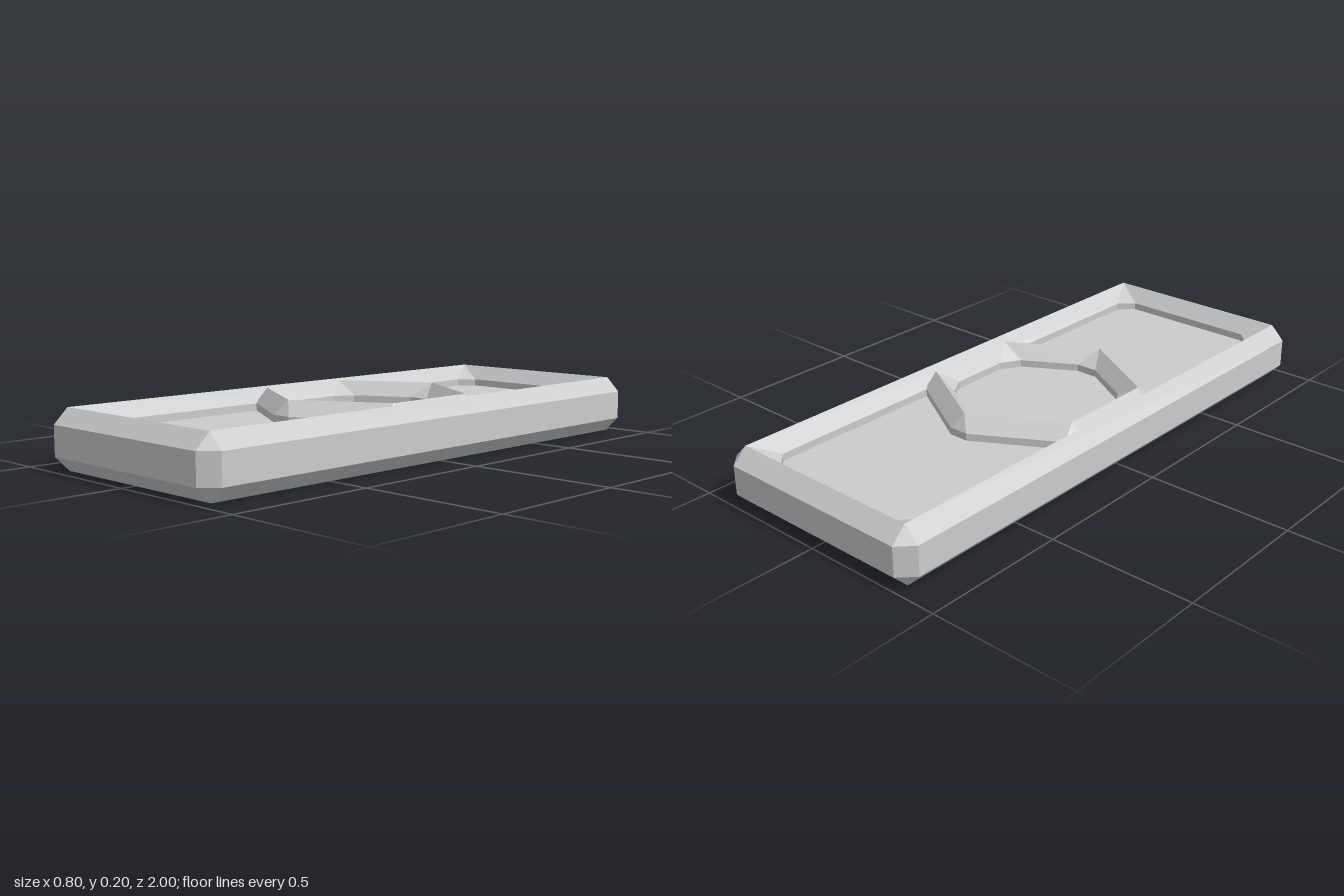
import * as THREE from 'three';

const material = new THREE.MeshStandardMaterial({ color: 0xcccccc, flatShading: true });

// Replace each polygon corner by two points, moved distance t along its edges
function cutCorners(corners, t) {
  const n = corners.length;
  return corners.flatMap((c, i) => {
    const towards = (o) => c.clone().add(o.clone().sub(c).setLength(t));
    return [towards(corners[(i + n - 1) % n]), towards(corners[(i + 1) % n])];
  });
}

// Closed bar with a ridged top and bottom, swept round a polygon.
// Points are (x, z), running counter-clockwise seen from above.
function ridgedRing(name, outer, ridge, inner) {
  const sections = [
    [ridge, 0.2], [outer, 0.15], [outer, 0.05],
    [ridge, 0], [inner, 0.05], [inner, 0.15],
  ];
  const n = ridge.length;
  const point = (i, j) => {
    const [loop, y] = sections[j % sections.length];
    const p = loop[i % n];
    return new THREE.Vector3(p.x, y, p.y);
  };
  const positions = [];
  const addTriangle = (a, b, c) => {
    if (new THREE.Triangle(a, b, c).getArea() < 1e-8) return; // ridge corners are single points
    for (const v of [a, b, c]) positions.push(v.x, v.y, v.z);
  };
  for (let i = 0; i < n; i++) {
    for (let j = 0; j < sections.length; j++) {
      const a = point(i, j), b = point(i, j + 1), c = point(i + 1, j + 1), d = point(i + 1, j);
      addTriangle(a, b, c);
      addTriangle(a, c, d);
    }
  }
  const geometry = new THREE.BufferGeometry();
  geometry.setAttribute('position', new THREE.Float32BufferAttribute(positions, 3));
  geometry.computeVertexNormals();
  const mesh = new THREE.Mesh(geometry, material);
  mesh.name = name;
  return mesh;
}

const rectangle = (x, z) => [[-x, z], [x, z], [x, -z], [-x, -z]].map(([a, b]) => new THREE.Vector2(a, b));

const hexagon = (r) => Array.from({ length: 6 }, (_, i) => {
  const a = (i * Math.PI) / 3;
  return new THREE.Vector2(r * Math.sin(a), r * Math.cos(a));
});

export function createModel() {
  const model = new THREE.Group();
  model.name = 'framedPanel';

  // Outer rectangular frame
  model.add(ridgedRing('frame',
    cutCorners(rectangle(0.4, 1), 0.05),
    cutCorners(rectangle(0.35, 0.95), 0),
    cutCorners(rectangle(0.3, 0.9), 0.05)));

  // Hexagonal ring in the middle
  model.add(ridgedRing('hexagonRing',
    cutCorners(hexagon(0.4), 0.04),
    cutCorners(hexagon(0.35), 0),
    cutCorners(hexagon(0.3), 0.045)));

  // Recessed panel, set into the frame
  const panel = new THREE.Mesh(new THREE.BoxGeometry(0.66, 0.05, 1.86), material);
  panel.name = 'panel';
  panel.position.y = 0.1;
  model.add(panel);

  return model;
}
